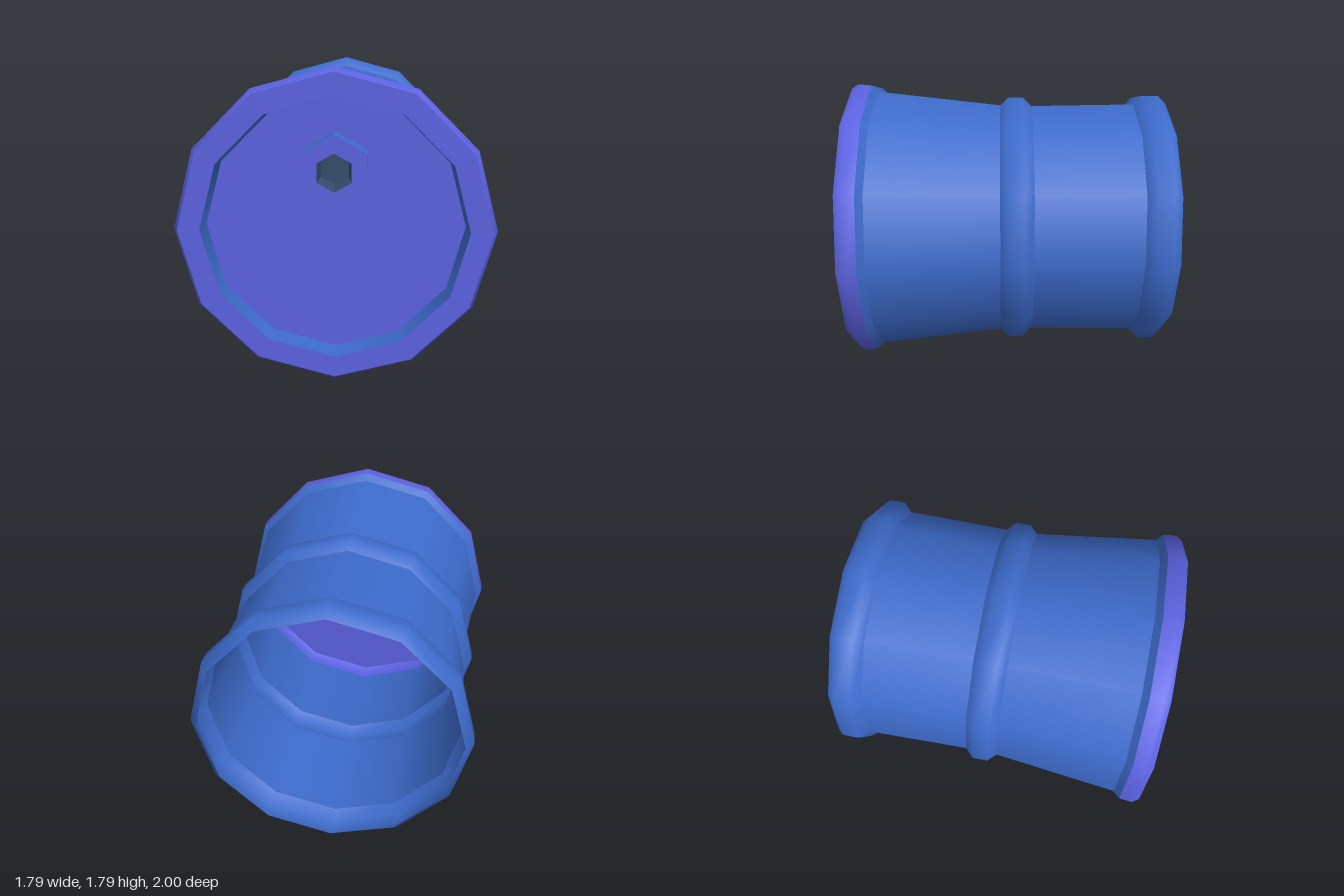
import * as THREE from 'three';

const blue = new THREE.MeshStandardMaterial({ name: 'barrelBlue', color: 0x3d6bcc, side: THREE.DoubleSide });
const violet = new THREE.MeshStandardMaterial({ name: 'lidViolet', color: 0x5c62e2, side: THREE.DoubleSide });
const slate = new THREE.MeshStandardMaterial({ name: 'holeSlate', color: 0x344d6b, side: THREE.DoubleSide });

// Turn a [radius, z] profile around the z axis; back-to-front order faces outward
function turned(name, material, profile, sides = 12, flat = false) {
  let geometry = new THREE.LatheGeometry(profile.map(([r, z]) => new THREE.Vector2(r, z)), sides);
  geometry.rotateX(Math.PI / 2);
  if (flat) {
    geometry = geometry.toNonIndexed();
    geometry.computeVertexNormals();
  }
  const mesh = new THREE.Mesh(geometry, material);
  mesh.name = name;
  return mesh;
}

export function createModel() {
  const model = new THREE.Group();
  model.name = 'barrel';

  const body = new THREE.Group();
  body.name = 'body';
  body.add(
    // Open-ended shell with two raised hoops, each section creased from the next
    turned('backHoop', blue, [[0.77, -1], [0.82, -0.95], [0.82, -0.85], [0.765, -0.795]]),
    turned('backWall', blue, [[0.765, -0.795], [0.755, -0.145]]),
    turned('middleHoop', blue, [[0.755, -0.145], [0.81, -0.09], [0.81, 0.005], [0.76, 0.055]]),
    turned('frontWall', blue, [[0.76, 0.055], [0.85, 0.83]]),
    turned('frontFlare', blue, [[0.85, 0.83], [0.89, 0.87]]),
    // Front rim and recessed lid
    turned('rim', violet, [[0.89, 0.87], [0.897, 0.95], [0.87, 0.993]]),
    turned('rimFace', violet, [[0.87, 0.993], [0.745, 0.993]]),
    turned('recessWall', blue, [[0.745, 0.993], [0.732, 0.87]]),
    turned('lid', violet, [[0.732, 0.87], [0, 0.87]])
  );

  // Hexagonal plug with a socket
  const plug = new THREE.Group();
  plug.name = 'plug';
  plug.position.y = 0.33;
  plug.add(
    turned('plugSides', blue, [[0.208, 0.87], [0.208, 1]], 6, true),
    turned('plugFace', violet, [[0.208, 1], [0.108, 1]], 6, true),
    turned('socketWall', slate, [[0.108, 1], [0.09, 0.89]], 6, true),
    turned('socketFloor', slate, [[0.09, 0.89], [0, 0.89]], 6)
  );

  model.add(body, plug);
  body.position.y = 0.9;
  plug.position.y += 0.9;
  return model;
}
